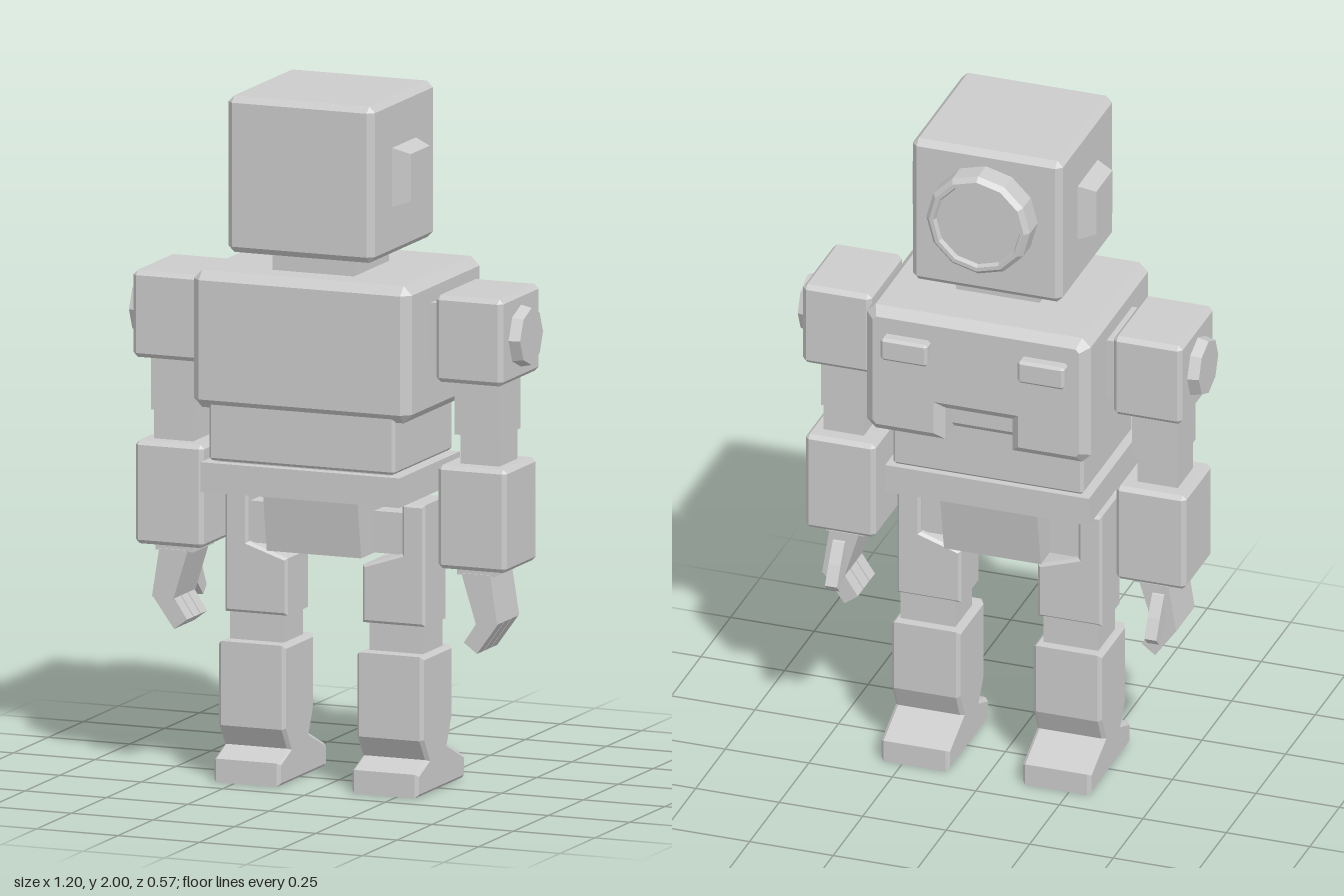
import * as THREE from 'three';
import { ConvexGeometry } from 'three/addons/geometries/ConvexGeometry.js';

const material = new THREE.MeshStandardMaterial({ color: 0xcccccc, flatShading: true });
const dishMaterial = new THREE.MeshStandardMaterial({ color: 0xcccccc, flatShading: true, side: THREE.DoubleSide });

function add(parent, name, geometry, mat = material) {
  const mesh = new THREE.Mesh(geometry, mat);
  mesh.name = name;
  parent.add(mesh);
  return mesh;
}

// Box between limits, every edge cut by a chamfer c (0 = plain box)
function block(parent, name, [x0, x1], [y0, y1], [z0, z1], c = 0) {
  const w = x1 - x0, h = y1 - y0, d = z1 - z0;
  let geometry;
  if (c === 0) geometry = new THREE.BoxGeometry(w, h, d);
  else {
    const pts = [];
    for (const i of [-1, 1]) for (const j of [-1, 1]) for (const k of [-1, 1])
      for (let a = 0; a < 3; a++)
        pts.push(new THREE.Vector3(
          i * (w / 2 - (a === 0 ? 0 : c)),
          j * (h / 2 - (a === 1 ? 0 : c)),
          k * (d / 2 - (a === 2 ? 0 : c))));
    geometry = new ConvexGeometry(pts);
  }
  geometry.translate((x0 + x1) / 2, (y0 + y1) / 2, (z0 + z1) / 2);
  return add(parent, name, geometry);
}

// Extruded outline, centred in depth, with a bevel inside the outline
function prism(points, depth, c = 0) {
  const shape = new THREE.Shape(points.map(([x, y]) => new THREE.Vector2(x, y)));
  const geometry = new THREE.ExtrudeGeometry(shape, {
    depth: depth - 2 * c, bevelEnabled: c > 0, bevelThickness: c, bevelSize: c,
    bevelOffset: -c, bevelSegments: 1,
  });
  return geometry.translate(0, 0, -(depth - 2 * c) / 2);
}

// Outline given as (z, y), extruded across x
const sideProfile = (points, width, c) => prism(points, width, c).rotateY(-Math.PI / 2);

function buildHead(robot) {
  const head = new THREE.Group();
  head.name = 'head';
  block(head, 'skull', [-0.225, 0.225], [1.55, 2], [-0.165, 0.285], 0.018);
  block(head, 'neck', [-0.125, 0.125], [1.47, 1.57], [-0.065, 0.185]);
  // Round eye with a raised rim
  const rim = [[0.155, 0], [0.155, 0.065], [0.142, 0.08], [0.13, 0.08], [0.125, 0.065], [0, 0.065]];
  const eye = add(head, 'eye', new THREE.LatheGeometry(rim.map(([r, y]) => new THREE.Vector2(r, y)), 12), dishMaterial);
  eye.rotation.x = -Math.PI / 2;
  eye.position.set(0, 1.8, -0.165);
  // Tapered ears
  for (const s of [-1, 1]) {
    const pts = [];
    for (const [x, h] of [[0.21, 0.09], [0.275, 0.068]])
      for (const j of [-h, h]) for (const k of [-h, h])
        pts.push(new THREE.Vector3(s * x, 1.775 + j, 0.06 + k));
    add(head, 'ear', new ConvexGeometry(pts));
  }
  robot.add(head);
}

function buildTorso(robot) {
  const torso = new THREE.Group();
  torso.name = 'torso';
  block(torso, 'chest', [-0.335, 0.335], [1.095, 1.49], [-0.17, 0.285], 0.026);
  // Chest plate with a notch in its lower edge
  const c = 0.026, X = 0.335, lo = 1.095, hi = 1.49;
  const outline = [[-X + c, lo], [-0.1, lo], [-0.1, lo + 0.1], [0.1, lo + 0.1], [0.1, lo],
    [X - c, lo], [X, lo + c], [X, hi - c], [X - c, hi], [-X + c, hi], [-X, hi - c], [-X, lo + c]];
  add(torso, 'chestPlate', prism(outline, 0.25, c)).position.z = -0.125;
  for (const s of [-1, 1])
    block(torso, 'chestLamp', [s * 0.205 - 0.07, s * 0.205 + 0.07], [1.345, 1.415], [-0.285, -0.23], 0.008);
  block(torso, 'waist', [-0.285, 0.285], [0.945, 1.12], [-0.15, 0.27], 0.008);
  block(torso, 'waistJoint', [-0.265, 0.265], [0.92, 0.96], [-0.13, 0.25]);
  block(torso, 'belt', [-0.305, 0.305], [0.855, 0.94], [-0.155, 0.28]);
  // Pelvis narrowing downwards
  add(torso, 'pelvis', sideProfile([[-0.11, 0.68], [0.18, 0.68], [0.21, 0.87], [-0.145, 0.87]], 0.29));
  robot.add(torso);
}

function buildArm() {
  const arm = new THREE.Group();
  arm.name = 'arm';
  block(arm, 'shoulderJoint', [0.32, 0.38], [1.235, 1.42], [-0.09, 0.125]);
  block(arm, 'shoulder', [0.362, 0.568], [1.2, 1.45], [-0.118, 0.16], 0.013);
  const bolt = add(arm, 'shoulderBolt', new THREE.CylinderGeometry(0.082, 0.092, 0.045, 8));
  bolt.rotation.z = -Math.PI / 2;
  bolt.position.set(0.578, 1.325, 0.022);
  block(arm, 'upperArm', [0.398, 0.533], [1.042, 1.21], [-0.055, 0.102]);
  block(arm, 'elbow', [0.41, 0.53], [0.94, 1.05], [-0.04, 0.088]);
  block(arm, 'forearm', [0.36, 0.57], [0.66, 0.957], [-0.09, 0.138], 0.012);
  block(arm, 'wrist', [0.405, 0.52], [0.64, 0.67], [-0.05, 0.1]);
  // Palm leaning outward, then three fingers curled back in
  const palm = [[0.42, 0.645], [0.465, 0.5], [0.53, 0.505], [0.508, 0.645]];
  add(arm, 'palm', prism(palm, 0.158)).position.z = 0.025;
  const finger = [[0.465, 0.505], [0.425, 0.445], [0.465, 0.415], [0.53, 0.505]];
  for (const z of [-0.025, 0.025, 0.075])
    add(arm, 'finger', prism(finger, 0.045)).position.z = z;
  const thumb = [[-0.04, 0.625], [-0.06, 0.615], [-0.095, 0.56], [-0.125, 0.505], [-0.1, 0.48], [-0.04, 0.54]];
  add(arm, 'thumb', sideProfile(thumb, 0.036)).position.x = 0.478;
  return arm;
}

function buildLeg() {
  const leg = new THREE.Group();
  leg.name = 'leg';
  block(leg, 'hipAxle', [0.13, 0.25], [0.68, 0.8], [-0.035, 0.085]);
  const thigh = [[0.115, 0.48], [0.307, 0.48], [0.307, 0.83], [0.236, 0.83], [0.236, 0.685], [0.115, 0.645]];
  add(leg, 'thigh', prism(thigh, 0.16, 0.008)).position.z = 0.025;
  block(leg, 'knee', [0.132, 0.296], [0.38, 0.49], [-0.05, 0.09]);
  // Shin and foot in one side profile
  const shin = [[-0.17, 0.005], [0.17, 0.005], [0.17, 0.068], [0.095, 0.097], [0.135, 0.158],
    [0.135, 0.4], [-0.08, 0.4], [-0.08, 0.19], [-0.048, 0.12], [-0.17, 0.066]];
  shin[0][1] = shin[1][1] = 0;
  add(leg, 'shinAndFoot', sideProfile(shin, 0.205, 0.01)).position.x = 0.212;
  return leg;
}

export function createModel() {
  const robot = new THREE.Group();
  robot.name = 'robot';
  buildHead(robot);
  buildTorso(robot);
  for (const s of [1, -1])
    for (const limb of [buildArm(), buildLeg()]) {
      limb.name = (s > 0 ? 'left ' : 'right ') + limb.name;
      limb.scale.x = s;
      robot.add(limb);
    }
  return robot;
}
